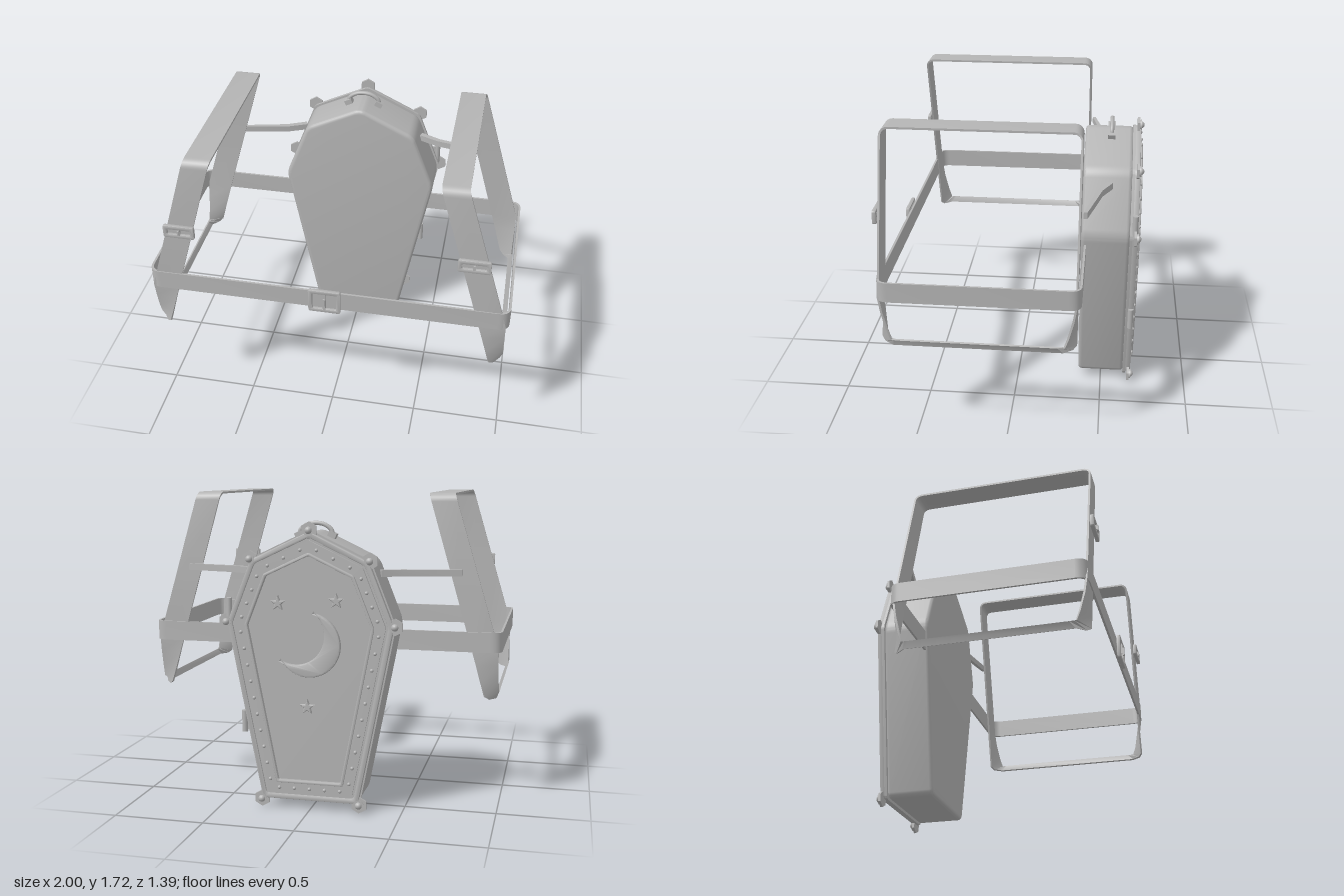
import * as THREE from 'three';
import { toCreasedNormals } from 'three/addons/utils/BufferGeometryUtils.js';

const V2 = (x, y) => new THREE.Vector2(x, y);
const V3 = (x, y, z) => new THREE.Vector3(x, y, z);

// Coffin outline, counter-clockwise
const OUTLINE = [[-0.27, 0.04], [0.27, 0.04], [0.46, 1.02], [0.325, 1.36], [0, 1.515], [-0.325, 1.36], [-0.46, 1.02]]
  .map(([x, y]) => V2(x, y));

// Outline moved inwards by d (negative d moves it outwards)
function inset(d) {
  const n = OUTLINE.length;
  return OUTLINE.map((p, i) => {
    const a = p.clone().sub(OUTLINE[(i + n - 1) % n]).normalize();
    const b = OUTLINE[(i + 1) % n].clone().sub(p).normalize();
    const na = V2(-a.y, a.x), nb = V2(-b.y, b.x);
    const m = na.clone().add(nb);
    return p.clone().addScaledVector(m, d / (1 + na.dot(nb)));
  });
}

// Closed path with softened corners
function rounded(pts, r, path = new THREE.Shape()) {
  const n = pts.length;
  pts.forEach((p, i) => {
    const prev = pts[(i + n - 1) % n], next = pts[(i + 1) % n];
    const s = p.clone().add(prev.clone().sub(p).setLength(r));
    const e = p.clone().add(next.clone().sub(p).setLength(r));
    if (i === 0) path.moveTo(s.x, s.y); else path.lineTo(s.x, s.y);
    path.quadraticCurveTo(p.x, p.y, e.x, e.y);
  });
  path.closePath();
  return path;
}

const rect = (w, h) => [V2(-w / 2, -h / 2), V2(w / 2, -h / 2), V2(w / 2, h / 2), V2(-w / 2, h / 2)];

function ring(outer, inner, r, ri = r) {
  const s = rounded(outer, r);
  s.holes.push(rounded(inner, ri, new THREE.Path()));
  return s;
}

// Extrusion lying between z0 and z1, bevel included in the depth
function slab(shape, z0, z1, bevel = 0, steps = 2) {
  const g = new THREE.ExtrudeGeometry(shape, {
    depth: z1 - z0 - 2 * bevel, bevelEnabled: bevel > 0, bevelSize: bevel,
    bevelThickness: bevel, bevelOffset: -bevel, bevelSegments: steps, curveSegments: 8,
  });
  g.translate(0, 0, z0 + bevel);
  return toCreasedNormals(g, 0.6);
}

// Band swept through pairs of edge points, thickened towards the inside of the loop
function bandGeometry(pairs, t) {
  const n = pairs.length;
  const mid = pairs.map(([a, b]) => a.clone().add(b).multiplyScalar(0.5));
  const rings = pairs.map(([a, b], i) => {
    const tan = mid[(i + 1) % n].clone().sub(mid[(i + n - 1) % n]);
    const nrm = tan.cross(b.clone().sub(a)).setLength(t);
    return [a, b, b.clone().add(nrm), a.clone().add(nrm)];
  });
  const pos = [];
  rings.forEach((r, i) => {
    const q = rings[(i + 1) % n];
    for (let k = 0; k < 4; k++) {
      const l = (k + 1) % 4;
      for (const p of [r[k], r[l], q[l], r[k], q[l], q[k]]) pos.push(p.x, p.y, p.z);
    }
  });
  const g = new THREE.BufferGeometry();
  g.setAttribute('position', new THREE.Float32BufferAttribute(pos, 3));
  g.computeVertexNormals();
  return toCreasedNormals(g, 0.7);
}

export function createModel() {
  const root = new THREE.Group();
  const grey = new THREE.MeshStandardMaterial({ color: 0xb4b4b4 });
  grey.name = 'grey';
  const add = (name, geo, x = 0, y = 0, z = 0, parent = root) => {
    const m = new THREE.Mesh(geo, grey);
    m.name = name;
    m.position.set(x, y, z);
    parent.add(m);
    return m;
  };

  // Coffin body and layered lid
  add('coffinBody', slab(rounded(inset(0), 0.04), -0.635, -0.365, 0.022, 4));
  add('lidBase', slab(rounded(inset(-0.006), 0.02), -0.648, -0.632));
  add('lidPanel', slab(rounded(inset(0.012), 0.02), -0.668, -0.645));
  add('outerTrim', slab(ring(inset(0.002), inset(0.03), 0.02), -0.677, -0.645, 0.005));
  add('rivetBand', slab(ring(inset(0.042), inset(0.105), 0.01), -0.68, -0.66));
  add('innerTrim', slab(ring(inset(0.1), inset(0.116), 0.01), -0.692, -0.66, 0.004));

  // Rivets along each edge of the lid
  const rivet = new THREE.SphereGeometry(0.01, 10, 8);
  const line = inset(0.07);
  line.forEach((p, i) => {
    const q = line[(i + 1) % line.length];
    const count = Math.max(2, Math.round(p.distanceTo(q) / 0.09));
    for (let k = 0; k < count; k++) {
      const c = p.clone().lerp(q, (k + 0.5) / count);
      add('rivet', rivet, c.x, c.y, -0.682);
    }
  });

  // Hexagonal corner plates with domed studs
  const hex = new THREE.CylinderGeometry(0.046, 0.046, 0.014, 6).rotateX(Math.PI / 2);
  const collar = new THREE.CylinderGeometry(0.026, 0.03, 0.016, 16).rotateX(Math.PI / 2);
  const dome = new THREE.SphereGeometry(0.02, 16, 12);
  for (const p of inset(-0.004)) {
    add('cornerPlate', toCreasedNormals(hex, 0.3), p.x, p.y, -0.663);
    add('cornerCollar', collar, p.x, p.y, -0.672);
    add('cornerStud', dome, p.x, p.y, -0.676);
  }

  // Crescent moon: outer arc closed by a shallower inner arc
  const tilt = THREE.MathUtils.degToRad(35), R = 0.175, r = 0.161, off = 0.091;
  const moon = new THREE.Shape();
  const half = Math.acos(0.42), innerHalf = Math.acos((0.42 * R - off) / r);
  moon.absarc(0, 0, R, tilt + half, tilt - half + Math.PI * 2, false);
  moon.absarc(off * Math.cos(tilt), off * Math.sin(tilt), r, tilt - innerHalf + Math.PI * 2, tilt + innerHalf, true);
  const moonGeo = new THREE.ExtrudeGeometry(moon, {
    depth: 0.014, bevelEnabled: true, bevelSize: 0.008, bevelThickness: 0.008,
    bevelOffset: -0.008, bevelSegments: 2, curveSegments: 28,
  });
  add('moon', toCreasedNormals(moonGeo, 0.6), 0, 0.91, -0.688);

  // Stars
  const star = new THREE.Shape(Array.from({ length: 10 }, (_, i) => {
    const a = Math.PI / 2 + i * Math.PI / 5, s = i % 2 ? 0.018 : 0.042;
    return V2(Math.cos(a) * s, Math.sin(a) * s);
  }));
  for (const [x, y] of [[0.17, 1.13], [-0.15, 1.15], [0.01, 0.57]]) add('star', slab(star, -0.688, -0.66, 0.004, 1), x, y);

  // Lid hinges
  const pin = new THREE.CylinderGeometry(0.016, 0.016, 0.12, 16);
  for (const [x, y] of [[0.45, 1.09], [0.37, 0.47]]) {
    add('hingePin', pin, x, y, -0.66);
    add('hingeLeaf', new THREE.BoxGeometry(0.05, 0.1, 0.012), x - 0.022, y, -0.655);
  }

  // Carrying handle on the top
  const arch = new THREE.CatmullRomCurve3([[-0.095, 1.48], [-0.085, 1.515], [-0.045, 1.543], [0, 1.55],
    [0.045, 1.543], [0.085, 1.515], [0.095, 1.48]].map(([x, y]) => V3(x, y, -0.513)));
  add('handle', new THREE.TubeGeometry(arch, 32, 0.012, 10));
  for (const s of [-1, 1]) add('handleFoot', new THREE.BoxGeometry(0.045, 0.03, 0.042), s * 0.092, 1.488, -0.513).rotation.z = -s * 0.44;

  // Waist belt
  const belt = slab(ring(rect(2, 1.06), rect(1.976, 1.036), 0.065, 0.055), 0, 0.11);
  add('waistBelt', belt.rotateX(Math.PI / 2), 0, 0.965, 0.135);

  // Buckles: frame, centre bar and prong
  function buckle(name, x, y, w, h) {
    const g = new THREE.Group();
    g.name = name;
    g.position.set(x, y, 0.665);
    root.add(g);
    add('buckleFrame', slab(ring(rect(w, h), rect(w - 0.044, h - 0.044), 0.012, 0.008), 0, 0.022, 0.004), 0, 0, 0, g);
    add('buckleBar', new THREE.BoxGeometry(0.014, h - 0.03, 0.016), 0, 0, 0.014, g);
    add('bucklePlate', new THREE.BoxGeometry(w - 0.03, h - 0.03, 0.008), 0, 0, 0.002, g);
    add('buckleProng', new THREE.BoxGeometry(0.01, h * 0.35, 0.018), 0, 0, 0.021, g);
  }
  buckle('waistBuckle', 0, 0.912, 0.178, 0.145);

  // Shoulder strap loop: flat over the top, twisting to a narrow strip below
  const h = 0.5175, cz = 0.1425;
  const leg = (y, z) => [V3(0.73 + 0.3 * (1.71 - y), y, z), V3(0.59 + 0.29 * (1.71 - y), y, z)];
  const front = [];
  for (let i = 0; i <= 6; i++) {
    const a = i / 6 * Math.PI / 2;
    front.push(leg(1.665 + 0.045 * Math.cos(a), h - 0.045 + 0.045 * Math.sin(a)));
  }
  front.push(leg(1.2, h), leg(0.87, h));
  front.push([V3(0.982, 0.78, h - 0.014), V3(0.86, 0.78, h)]);
  front.push([V3(0.984, 0.68, h - 0.04), V3(0.89, 0.68, h)]);
  front.push([V3(0.986, 0.625, h - 0.06), V3(0.914, 0.605, h)]);
  front.push([V3(0.986, 0.624, h - 0.075), V3(0.935, 0.587, h - 0.02)]);
  front.push([V3(0.987, 0.623, h - 0.1), V3(0.972, 0.587, h - 0.07)]);
  const back = front.slice().reverse().map((s) => s.map((p) => V3(p.x, p.y, -p.z)));
  const strap = bandGeometry([...front, ...back], 0.011);

  for (const s of [-1, 1]) {
    const side = s > 0 ? 'left' : 'right';
    add(side + 'ShoulderStrap', strap, 0, 0, cz).rotation.y = s > 0 ? 0 : Math.PI;
    buckle(side + 'StrapBuckle', s * 0.787, 1.27, 0.172, 0.075);

    // Bent bracket from the coffin to the strap
    const arm = new THREE.Shape([[0.35, -0.5], [0.46, -0.45], [0.78, -0.386], [0.78, -0.405], [0.475, -0.476], [0.362, -0.53]]
      .map(([x, z]) => V2(s * x, z)));
    add(side + 'Bracket', slab(arm, 0, 0.036).rotateX(Math.PI / 2), 0, 1.304, 0);
  }
  return root;
}
